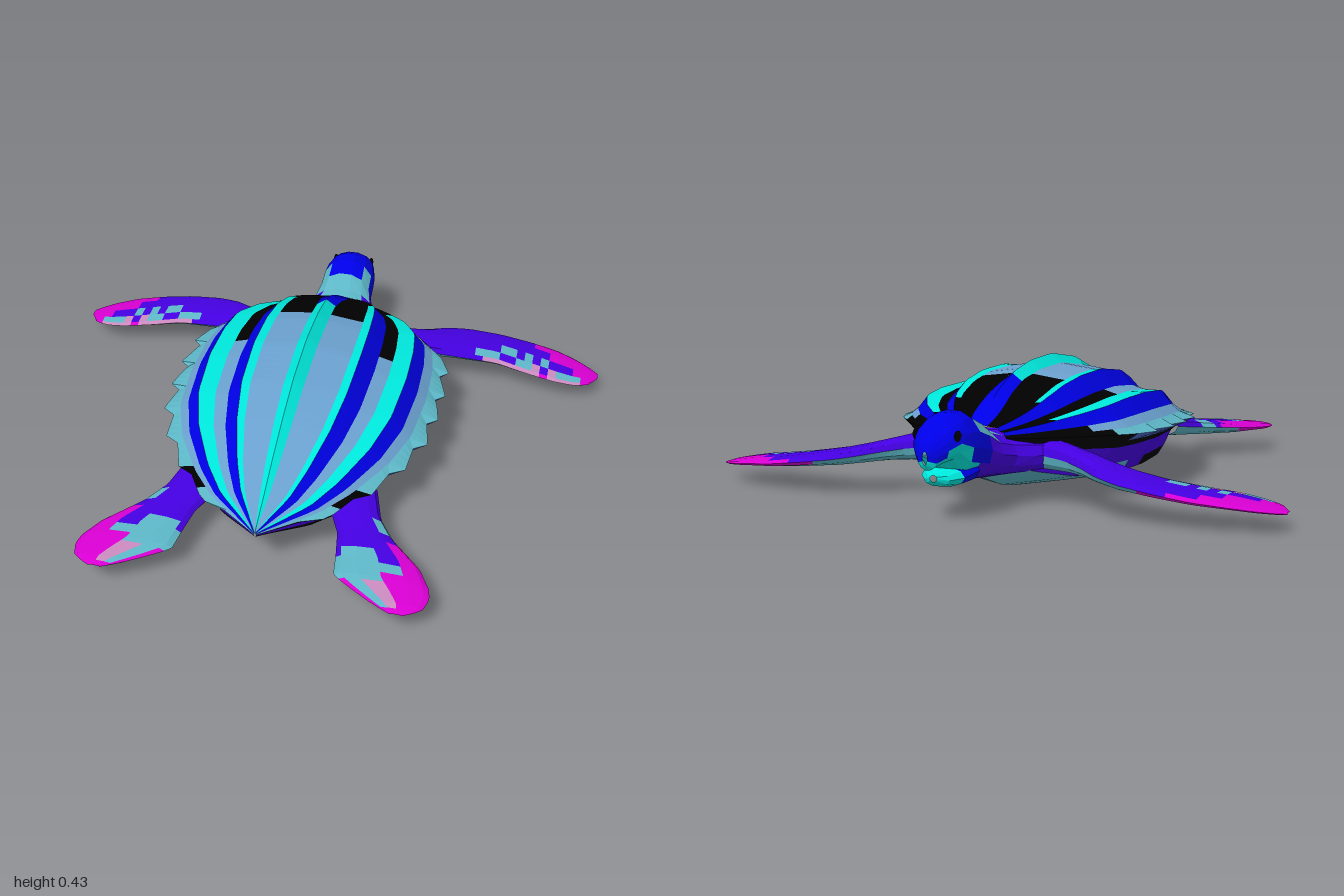
import * as THREE from 'three';

const mat = (name, color) => {
  const m = new THREE.MeshStandardMaterial({ color });
  m.name = name;
  return m;
};
const M = {
  teal: mat('teal', 0x00eee2), steel: mat('steel blue', 0x6aa0ce), blue: mat('blue', 0x0000f6),
  periwinkle: mat('periwinkle', 0x5474e4), black: mat('black', 0x000000), purple: mat('purple', 0x4400e0),
  magenta: mat('magenta', 0xd800d2), foam: mat('sea grey', 0x5cb6c6), pink: mat('pale pink', 0xc888bc),
};

// Linear lookup in a table of stations whose first column is the position
function at(table, v) {
  let i = 0;
  while (i < table.length - 2 && v > table[i + 1][0]) i++;
  const a = table[i], b = table[i + 1], t = (v - a[0]) / (b[0] - a[0]);
  return a.map((n, k) => n + (b[k] - n) * t);
}

// Evenly spaced positions between the first and last station of a table
const spread = (table, n) => Array.from({ length: n + 1 }, (_, i) =>
  THREE.MathUtils.lerp(table[0][0], table[table.length - 1][0], i / n));

// Faceted skin over rows of points; colour(i, j) names the material of each quad
function skin(name, rows, colour, flip = false) {
  const buckets = new Map();
  for (let i = 0; i < rows.length - 1; i++) for (let j = 0; j < rows[0].length - 1; j++) {
    const a = rows[i][j], b = rows[i + 1][j], c = rows[i + 1][j + 1], d = rows[i][j + 1];
    const key = colour(i, j);
    if (!buckets.has(key)) buckets.set(key, []);
    const tris = flip ? [a, c, b, a, d, c] : [a, b, c, a, c, d];
    for (const p of tris) buckets.get(key).push(...p);
  }
  const geo = new THREE.BufferGeometry(), pos = [], mats = [];
  for (const [key, list] of buckets) {
    geo.addGroup(pos.length / 3, list.length / 3, mats.length);
    mats.push(M[key]);
    for (const n of list) pos.push(n);
  }
  geo.setAttribute('position', new THREE.Float32BufferAttribute(pos, 3));
  geo.computeVertexNormals();
  const mesh = new THREE.Mesh(geo, mats);
  mesh.name = name;
  return mesh;
}

// Body stations: z, half width, ridge top, rim, belly edge, keel
const HULL = [
  [-0.56, 0.1, 0.26, 0.215, 0.15, 0.13], [-0.5, 0.2, 0.3, 0.21, 0.11, 0.07],
  [-0.4, 0.34, 0.36, 0.205, 0.085, 0.035], [-0.3, 0.425, 0.4, 0.2, 0.075, 0.015],
  [-0.17, 0.445, 0.425, 0.195, 0.07, 0], [0, 0.45, 0.432, 0.19, 0.065, 0.005],
  [0.2, 0.43, 0.402, 0.185, 0.065, 0.03], [0.35, 0.375, 0.35, 0.18, 0.075, 0.045],
  [0.5, 0.28, 0.285, 0.175, 0.095, 0.07], [0.6, 0.19, 0.235, 0.17, 0.12, 0.105],
  [0.73, 0.004, 0.175, 0.165, 0.16, 0.155],
];
// Shell ribs from the middle to the rim: share of width, share of height
const RIBS = [[0, 1], [0.08, 0.87], [0.35, 0.8], [0.42, 0.81], [0.53, 0.57],
  [0.64, 0.51], [0.78, 0.51], [0.87, 0.29], [0.94, 0.18], [1, 0.09]];
const STRIPES = ['teal', 'steel', 'teal', 'blue', 'steel', 'teal', 'blue', 'steel', 'foam'];
const mirrored = (half) => [...half.slice(1).reverse().map(([x, y]) => [-x, y]), ...half];

// Backward-pointing teeth along the rim
const tooth = (z) => (z < -0.32 || z > 0.64 ? 0 : 0.04 * ((((z + 0.32) / 0.137) % 1)));

// Ribs keep their spacing towards the blunt front instead of meeting in a point
const bunching = (z) => at([[-0.56, 0.45], [-0.4, 0.85], [-0.3, 1], [0.73, 1]], z)[1];

function shellStripe(z, k) {
  if (k === 0 && z < -0.34) return 'blue';
  if (k === 1 && z < -0.25) return 'black';
  if (k === 2 && z < -0.35) return z < -0.44 ? 'black' : 'teal';
  if (k === 4 && z < -0.12) return 'black';
  if (k === 5 && z < -0.46) return 'black';
  if (k === 7 && z < -0.4) return 'black';
  if (k === 8 && (z < -0.36 || (z > 0.48 && z < 0.56))) return 'black';
  return STRIPES[k];
}

function buildBody(group) {
  const zs = spread(HULL, 47);
  const top = zs.map((z) => {
    const [, w, peak, rim] = at(HULL, z), p = bunching(z);
    return mirrored(RIBS.map(([u, h]) => [u ** p * w + (u === 1 ? tooth(z) : 0), rim + (peak - rim) * h]))
      .map(([x, y]) => [x, y, z]);
  });
  group.add(skin('ribbedShell', top, (i, j) => shellStripe(zs[i], j < 9 ? 8 - j : j - 9)));

  // Underside: rim lip, flank, then keeled belly
  const under = zs.map((z) => {
    const [, w, peak, rim, edge, keel] = at(HULL, z);
    const half = [[0, keel], [w * 0.4, keel + (edge - keel) * 0.5], [w * 0.76, edge],
      [w * 0.81, edge + (rim - edge) * 0.3], [w * 0.87, rim - (rim - edge) * 0.25],
      [w * 0.94, rim - (rim - edge) * 0.05], [w + tooth(z), rim + (peak - rim) * 0.09]];
    return mirrored(half).reverse().map(([x, y]) => [x, y, z]);
  });
  const bands = ['foam', 'foam', 'black', 'purple', 'black', 'periwinkle'];
  group.add(skin('bellyAndFlanks', under, (i, j) => {
    const k = j < 6 ? 5 - j : j - 6, z = zs[i];
    if (k === 2 && z > -0.3 && z < -0.2) return 'foam';
    if (k === 2 && (z < -0.05 || (z > 0.16 && z < 0.22))) return 'purple';
    if (k === 3 && z > 0.3 && z < 0.43) return 'black';
    if (k === 5 && (z < -0.3 || z > 0.5)) return 'black';
    if (k < 2 && z > 0.64) return 'black';
    return bands[k];
  }));
}

// Neck and head stations: z, top, bottom, half width
const HEAD = [
  [-0.9, 0.225, 0.185, 0.008], [-0.885, 0.25, 0.165, 0.035], [-0.86, 0.275, 0.175, 0.06],
  [-0.82, 0.305, 0.18, 0.083], [-0.77, 0.328, 0.12, 0.097], [-0.72, 0.328, 0.105, 0.101],
  [-0.66, 0.3, 0.1, 0.103], [-0.61, 0.26, 0.095, 0.118], [-0.56, 0.245, 0.09, 0.14],
  [-0.52, 0.24, 0.09, 0.19], [-0.46, 0.235, 0.09, 0.27], [-0.4, 0.22, 0.1, 0.28],
];
const JAW = [[-0.85, 0.145, 0.125, 0.012], [-0.83, 0.15, 0.108, 0.045],
  [-0.79, 0.165, 0.1, 0.075], [-0.72, 0.19, 0.1, 0.09]];
const tube = (table, n) => table.map(([z, t, b, w]) => Array.from({ length: n + 1 }, (_, j) => {
  const a = Math.PI - (j / n) * Math.PI * 2;
  return [Math.cos(a) * w, (t + b) / 2 + Math.sin(a) * (t - b) / 2, z];
}));

// Blue crown, teal mouth, grey nape patch, purple neck
function headPaint(i, j) {
  const below = j >= 7, side = j === 7 || j === 13;
  if (i < 2) return below && !side ? 'teal' : 'blue';
  if (i < 4) return below ? 'teal' : 'blue';
  if (i === 4) return below && !side ? 'teal' : 'blue';
  if (i === 5) return below && !side ? 'purple' : j === 1 || j === 5 ? 'foam' : 'blue';
  if (i === 6) return j > 0 && j < 6 ? 'foam' : 'purple';
  if (i === 7) return j > 1 && j < 5 ? 'foam' : 'purple';
  return i > 9 && side ? 'black' : 'purple';
}

function buildHead(group) {
  group.add(skin('headAndNeck', tube(HEAD, 14), headPaint));
  group.add(skin('lowerJaw', tube(JAW, 10), (i) => (i === 2 ? 'blue' : 'teal')));
  // Eyes
  for (const s of [-1, 1]) {
    const eye = new THREE.Mesh(new THREE.SphereGeometry(0.017, 8, 6), M.black);
    eye.name = s > 0 ? 'leftEye' : 'rightEye';
    eye.scale.x = 0.5;
    eye.position.set(s * 0.071, 0.264, -0.825);
    group.add(eye);
  }
}

// Flipper stations: span position, trailing edge, leading edge, height, half thickness
const FRONT = [
  [0.14, -0.38, -0.5, 0.17, 0.06], [0.28, -0.42, -0.52, 0.155, 0.045], [0.35, -0.425, -0.56, 0.145, 0.037],
  [0.42, -0.437, -0.612, 0.133, 0.032], [0.5, -0.452, -0.645, 0.12, 0.028],
  [0.62, -0.467, -0.66, 0.105, 0.023], [0.74, -0.445, -0.657, 0.09, 0.019],
  [0.84, -0.43, -0.637, 0.08, 0.015], [0.92, -0.437, -0.605, 0.069, 0.012],
  [0.97, -0.465, -0.573, 0.062, 0.009], [1, -0.515, -0.548, 0.058, 0.003],
];
const REAR = [
  [0.4, 0.16, 0.33, 0.135, 0.04], [0.52, 0.2, 0.365, 0.118, 0.035], [0.6, 0.237, 0.42, 0.108, 0.03],
  [0.7, 0.253, 0.52, 0.1, 0.025], [0.78, 0.262, 0.563, 0.096, 0.02], [0.82, 0.32, 0.57, 0.093, 0.016],
  [0.87, 0.4, 0.555, 0.09, 0.012], [0.9, 0.46, 0.5, 0.088, 0.003],
];
const speck = (i, j) => Math.abs(Math.sin(i * 12.99 + j * 78.23) * 43758.5) % 1;

// Strips 0-5 run over the top from trailing to leading edge, 6-11 back underneath
const MAGENTA_FROM = [0.93, 0.93, 0.88, 0.8, 0.7, 0.62];
function frontPaint(s, j, i) {
  if (j === 6) return s > 0.5 ? 'magenta' : 'foam';
  if (j === 11 && s > 0.6) return 'pink';
  if (j > 6) return 'foam';
  if (s > MAGENTA_FROM[j]) return 'magenta';
  if (j === 0 && s > 0.5) return speck(i, j) > 0.2 ? 'pink' : 'magenta';
  if (j === 1 && s > 0.44) return speck(i, j) > 0.8 ? 'pink' : speck(i, j) > 0.25 ? 'foam' : 'purple';
  if (j === 2 && s > 0.58) return speck(i, j) > 0.6 ? 'foam' : 'purple';
  return 'purple';
}
function rearPaint(s, j) {
  if (j === 6 || j === 11) return s > 0.55 ? (j === 6 ? 'magenta' : 'pink') : 'foam';
  if (j > 6) return s > 0.85 ? 'pink' : 'foam';
  if (s > 0.95 || (j === 5 && s > 0.42) || (j === 4 && s > 0.48)) return 'magenta';
  if (s > 0.8) return j === 2 ? 'pink' : j === 1 ? 'foam' : 'magenta';
  if (j === 3 && s > 0.72) return 'magenta';
  if (j === 0 && s > 0.45) return s > 0.6 ? 'foam' : 'purple';
  if (s > 0.52) return j === 3 && s < 0.66 ? 'purple' : 'foam';
  if (s > 0.3 && s < 0.4 && j > 3) return 'foam';
  return 'purple';
}

function buildFlipper(name, table, alongX, side, paint) {
  const n = 28, m = 6;
  const rows = spread(table, n).map((p) => {
    const [, trail, lead, y, thick] = at(table, p);
    return Array.from({ length: 2 * m + 1 }, (_, j) => {
      const a = (j / m) * Math.PI;
      const e = trail + (lead - trail) * (0.5 - 0.5 * Math.cos(a));
      const h = y + Math.sin(a) * thick;
      return alongX ? [side * p, h, e] : [side * e, h, p];
    });
  });
  return skin(name, rows, (i, j) => paint((i + 0.5) / n, j, i), side < 0);
}

export function createModel() {
  const turtle = new THREE.Group();
  turtle.name = 'seaTurtle';
  buildBody(turtle);
  buildHead(turtle);
  for (const side of [1, -1]) {
    const label = side > 0 ? 'left' : 'right';
    turtle.add(buildFlipper(label + 'FrontFlipper', FRONT, true, side, frontPaint));
    turtle.add(buildFlipper(label + 'RearFlipper', REAR, false, side, rearPaint));
  }
  return turtle;
}
